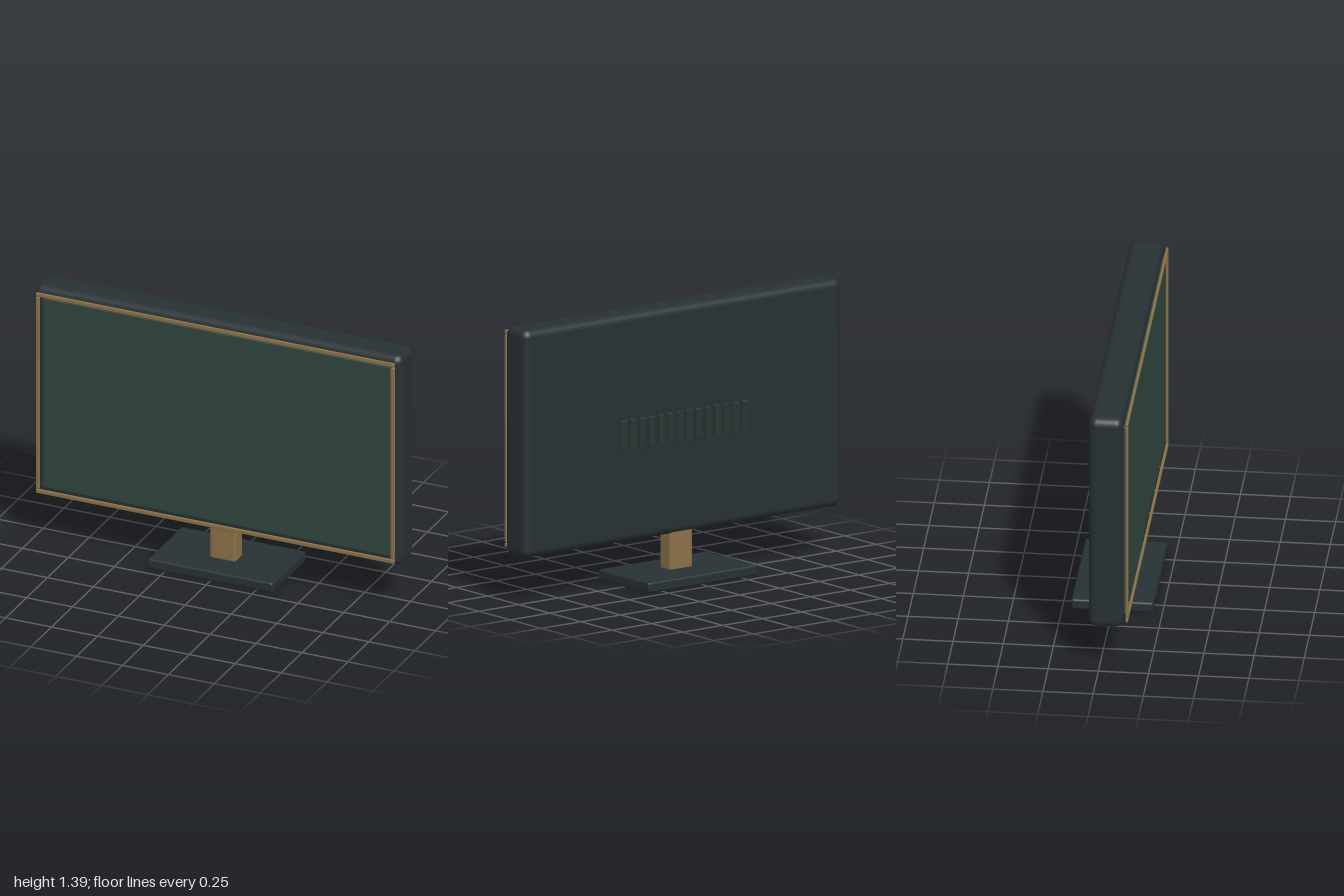
import * as THREE from 'three';
import { RoundedBoxGeometry } from 'three/addons/geometries/RoundedBoxGeometry.js';

const dark = new THREE.MeshStandardMaterial({ color: 0x273033 });
const glass = new THREE.MeshStandardMaterial({ color: 0x30453f });
const vent = new THREE.MeshStandardMaterial({ color: 0x263632 });
const bronze = new THREE.MeshStandardMaterial({ color: 0x8a7046 });

// Rounded box given by its limits on each axis
function box(name, [x0, x1], [y0, y1], [z0, z1], radius, material) {
  const geometry = new RoundedBoxGeometry(x1 - x0, y1 - y0, z1 - z0, 3, radius);
  const mesh = new THREE.Mesh(geometry, material);
  mesh.name = name;
  mesh.position.set((x0 + x1) / 2, (y0 + y1) / 2, (z0 + z1) / 2);
  return mesh;
}

export function createModel() {
  const model = new THREE.Group();
  model.name = 'monitor';

  // Stand
  model.add(box('base', [-0.34, 0.34], [0, 0.055], [-0.204, 0.204], 0.012, dark));
  model.add(box('post', [-0.072, 0.072], [0.045, 0.27], [-0.034, 0.056], 0.016, bronze));

  // Housing and screen
  model.add(box('housing', [-1, 1], [0.237, 1.393], [-0.05, 0.12], 0.04, dark));
  model.add(box('screen', [-0.945, 0.945], [0.295, 1.336], [0.11, 0.13], 0.005, glass));

  // Thin trim frame just in front of the screen
  const frame = new THREE.Group();
  frame.name = 'trimFrame';
  const z = [0.132, 0.145];
  frame.add(box('topTrim', [-0.976, 0.976], [1.346, 1.367], z, 0.004, bronze));
  frame.add(box('bottomTrim', [-0.976, 0.976], [0.264, 0.285], z, 0.004, bronze));
  for (const [name, x] of [['leftTrim', 0.966], ['rightTrim', -0.966]]) {
    frame.add(box(name, [x - 0.01, x + 0.01], [0.288, 1.343], z, 0.004, bronze));
  }
  model.add(frame);

  // Row of raised vent slats on the back
  const vents = new THREE.Group();
  vents.name = 'backVents';
  const count = 14, pitch = 0.0587;
  for (let i = 0; i < count; i++) {
    const x = (i - (count - 1) / 2) * pitch;
    vents.add(box('ventSlat', [x - 0.017, x + 0.017], [0.702, 0.86], [-0.062, -0.044], 0.004, vent));
  }
  model.add(vents);

  return model;
}
